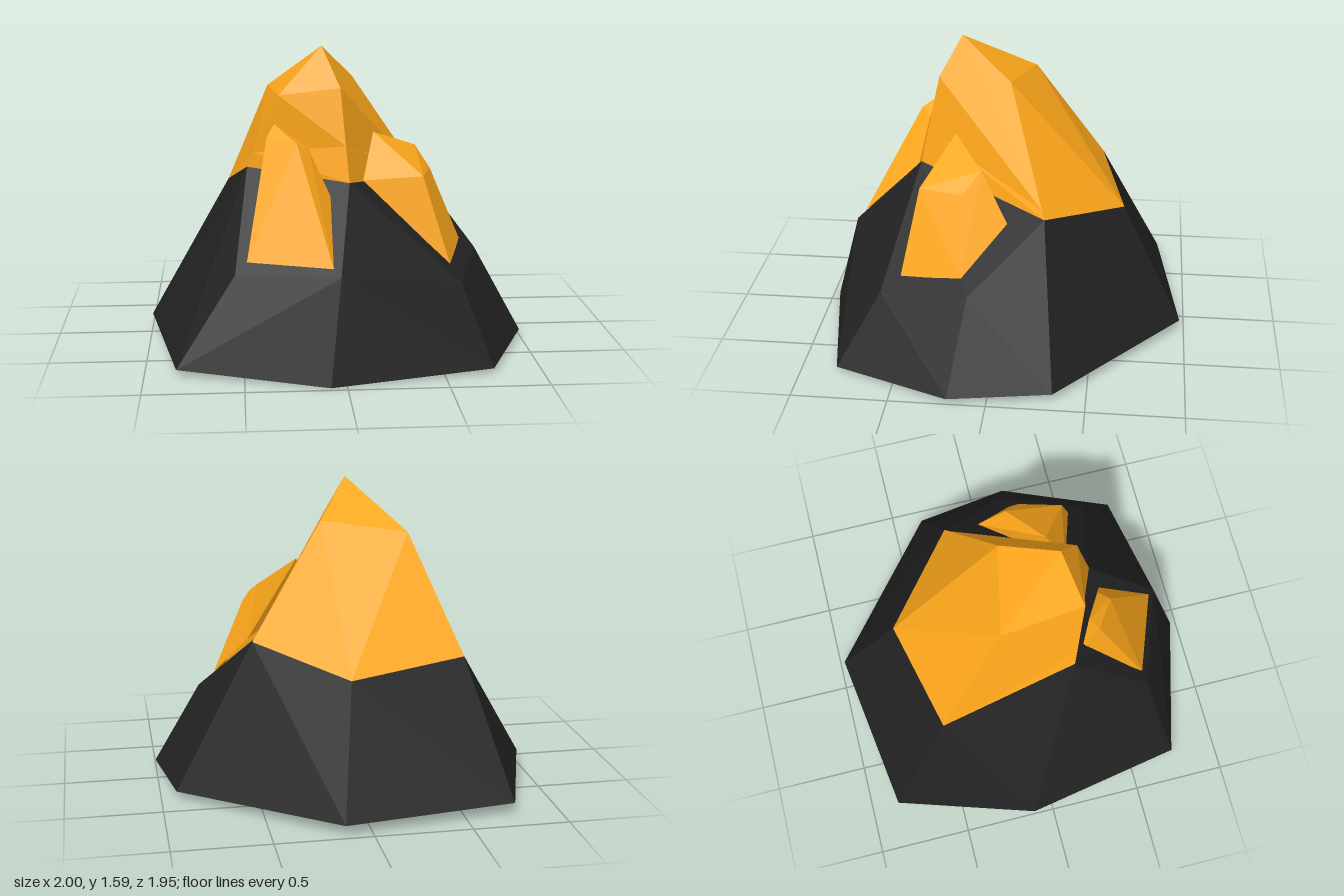
import * as THREE from 'three';
import { ConvexGeometry } from 'three/addons/geometries/ConvexGeometry.js';

const material = (color) =>
  new THREE.MeshStandardMaterial({ color, flatShading: true, side: THREE.DoubleSide });
const rockMat = material(0x222222);
const goldMat = material(0xffa81a);

// Faceted convex stone from its corner points [x, y, z].
// Faces spanned only by the corners of one of the open rings are left out.
function stone(name, corners, mat, ...openRings) {
  const rings = openRings.map((ring) => ring.map((c) => new THREE.Vector3(...c)));
  const hull = new ConvexGeometry(corners.map((c) => new THREE.Vector3(...c)));
  const source = hull.getAttribute('position');
  const kept = [];
  for (let i = 0; i < source.count; i += 3) {
    const face = [0, 1, 2].map((k) => new THREE.Vector3().fromBufferAttribute(source, i + k));
    const inRing = (ring) => face.every((v) => ring.some((p) => p.distanceTo(v) < 1e-4));
    if (!rings.some(inRing)) kept.push(...face);
  }
  const geometry = new THREE.BufferGeometry().setFromPoints(kept);
  geometry.computeVertexNormals();
  const mesh = new THREE.Mesh(geometry, mat);
  mesh.name = name;
  return mesh;
}

export function createModel() {
  const group = new THREE.Group();
  group.name = 'crystalRock';

  // Octagonal foot of the rock
  const foot = [
    [-0.76, 0.06, -0.85], [0.14, 0.055, -0.975], [0.92, 0.04, -0.33], [1.0, 0.03, 0.2],
    [0.75, 0.025, 0.81], [-0.08, 0, 0.97], [-0.84, 0.035, 0.75], [-1.0, 0.07, -0.11],
  ];
  // Shoulder that bevels the front and side
  const shoulder = [
    [-0.54, 0.49, 0.65], [-0.02, 0.515, 0.83], [0.615, 0.41, 0.59], [0.755, 0.48, 0.12],
  ];
  // Rim where the rock meets the large crystal
  const back = [[-0.57, 0.75, -0.51], [0.05, 0.692, -0.65]];
  const rim = [...back, [0.5, 0.81, -0.25], [0.05, 0.91, 0.45], [-0.47, 0.96, 0.23]];
  group.add(stone('rockBase', [...foot, ...shoulder, ...rim], rockMat, rim));

  // Large crystal: a collar on the rim and a crown above a sloping seam
  const seam = [...back, [0.472, 0.851, -0.235], [0.034, 1.095, 0.411], [-0.437, 1.037, 0.246]];
  group.add(stone('mainCrystalCollar', [...rim, ...seam], goldMat, rim, seam));
  group.add(stone('mainCrystalCrown', [
    ...seam,
    [-0.08, 1.59, 0.235], [0.1, 1.4, -0.04], [0.01, 1.385, 0.35],
    [-0.305, 1.345, 0.31], [-0.35, 1.34, -0.14],
  ], goldMat));

  // Small crystal on the front, open where it sits in the rock
  const frontRing = [
    [-0.48, 0.55, 0.63], [-0.055, 0.55, 0.79], [-0.05, 0.85, 0.48], [-0.37, 0.85, 0.3],
  ];
  group.add(stone('frontCrystal', [
    ...frontRing,
    [-0.22, 1.12, 0.48], [-0.16, 1.09, 0.43], [-0.37, 1.14, 0.38], [-0.33, 1.2, 0.33],
  ], goldMat, frontRing));

  // Small crystal on the side, open where it sits in the rock
  const sideRing = [
    [0.57, 0.48, 0.49], [0.665, 0.54, 0.16], [0.5, 0.78, -0.06], [0.13, 0.9, 0.34],
  ];
  group.add(stone('sideCrystal', [
    ...sideRing,
    [0.19, 1.14, 0.24], [0.43, 1.04, 0.08], [0.5, 0.93, 0.17], [0.435, 0.93, 0.4],
  ], goldMat, sideRing));

  return group;
}
